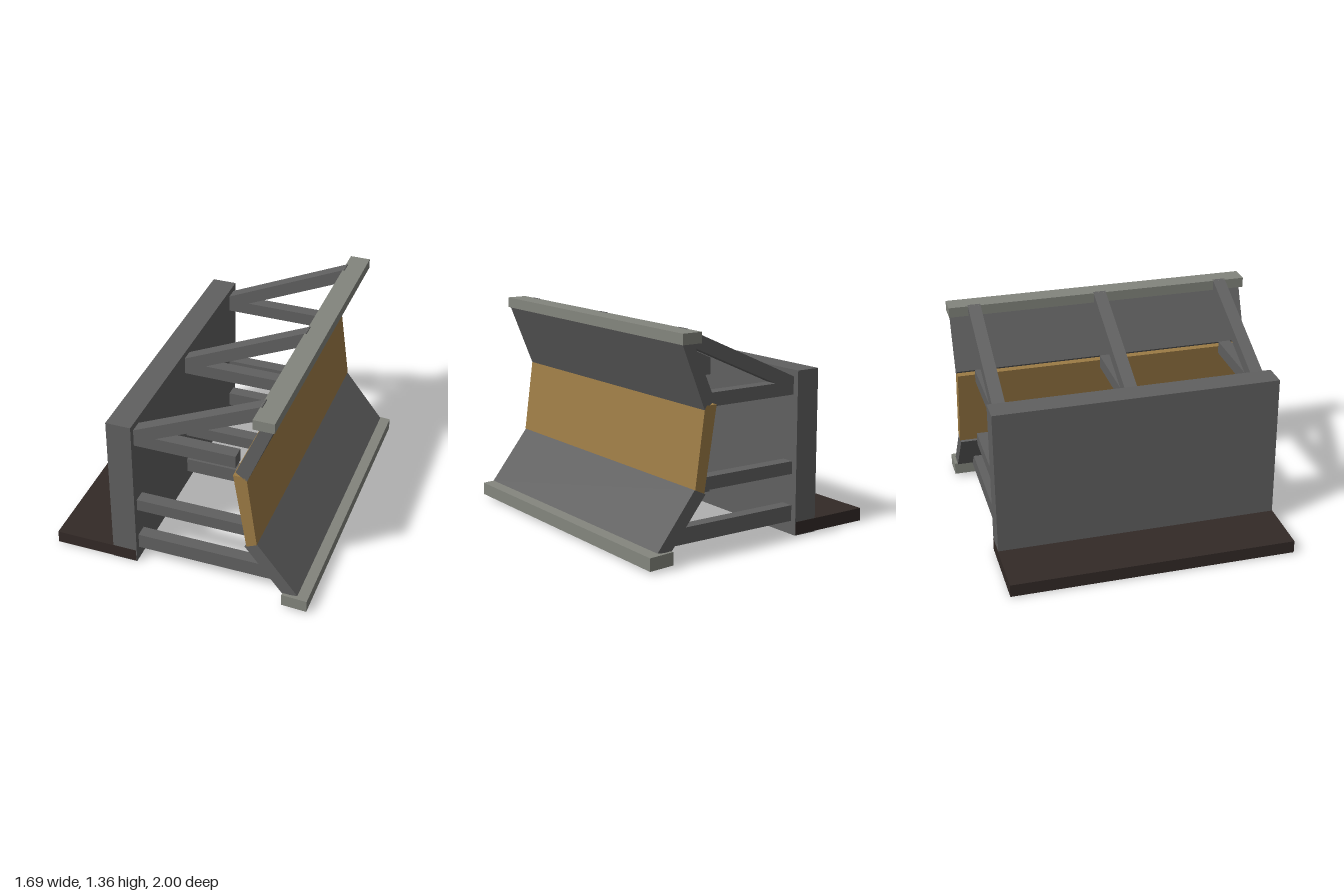
import * as THREE from 'three';

const paint = (color) => new THREE.MeshStandardMaterial({ color, flatShading: true });

export function createModel() {
  const model = new THREE.Group();
  const steel = paint(0x606060);
  const trim = paint(0x83857d);
  const wood = paint(0x9c7b45);
  const dark = paint(0x332a27);

  // Straight prism: an x-y outline run along z from z0 to z1
  function prism(name, points, z0, z1, material, parent = model) {
    const shape = new THREE.Shape(points.map(([x, y]) => new THREE.Vector2(x, y)));
    const geometry = new THREE.ExtrudeGeometry(shape, { depth: z1 - z0, bevelEnabled: false });
    geometry.translate(0, 0, z0);
    const mesh = new THREE.Mesh(geometry, material);
    mesh.name = name;
    parent.add(mesh);
  }
  const rect = (x0, x1, y0, y1) => [[x0, y0], [x1, y0], [x1, y1], [x0, y1]];

  // Upright back wall and the floor slab behind it
  prism('backWall', rect(-0.465, -0.305, 0.003, 1.04), -0.915, 0.91, steel);
  prism('floorSlab', rect(-0.85, -0.31, 0.008, 0.09), -0.917, 0.912, dark);

  // Folded facing made of three long panels
  prism('lowerPanel', [[0.437, 0.403], [0.68, 0.1], [0.775, 0.11], [0.515, 0.44]], -0.98, 0.98, steel);
  prism('middlePanel', [[0.365, 0.925], [0.45, 0.41], [0.515, 0.44], [0.45, 0.9], [0.437, 0.925]], -0.985, 0.985, wood);
  prism('upperPanel', [[0.38, 0.95], [0.45, 0.9], [0.61, 1.3], [0.53, 1.3]], -0.985, 0.985, steel);

  // Rails along the top and bottom edges
  prism('topRail', rect(0.485, 0.615, 1.29, 1.355), -1, 1, trim);
  prism('bottomRail', [[0.68, 0.027], [0.84, 0.02], [0.84, 0.1], [0.68, 0.107]], -1, 1, trim);

  // Three frames of struts between wall and facing
  const struts = {
    lowerStrut: [[-0.32, 0.09], [0.685, 0.09], [0.61, 0.19], [-0.32, 0.19]],
    middleStrut: rect(-0.32, 0.41, 0.39, 0.47),
    upperStrut: rect(-0.32, 0.34, 0.887, 0.97),
    diagonalStrut: [[-0.32, 0.9], [0.53, 1.282], [0.497, 1.36], [-0.32, 0.992]],
  };
  for (const z of [-0.835, 0, 0.83]) {
    const frame = new THREE.Group();
    frame.name = 'strutFrame';
    for (const [name, outline] of Object.entries(struts)) {
      prism(name, outline, z - 0.041, z + 0.041, steel, frame);
    }
    model.add(frame);
  }
  return model;
}
